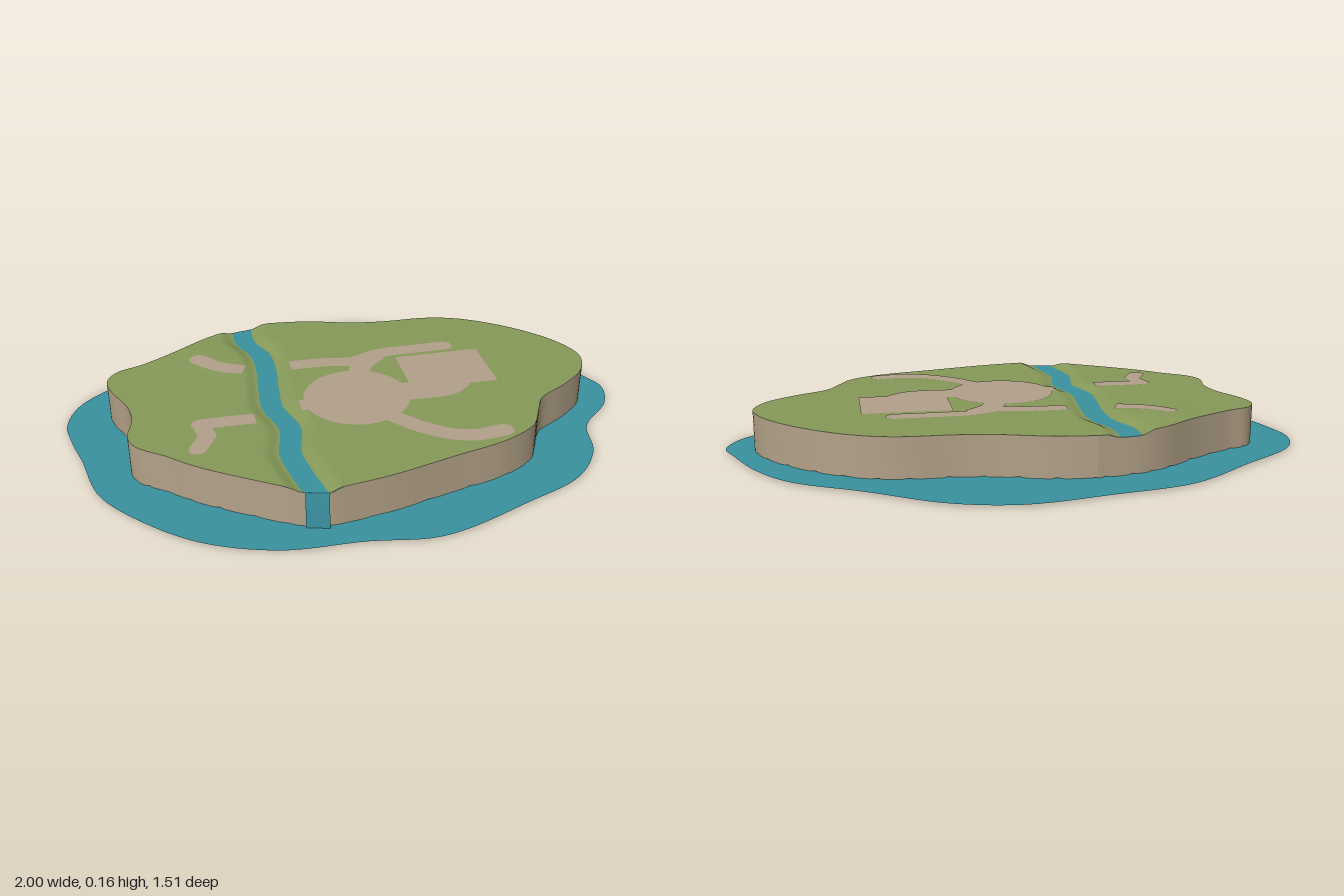
import * as THREE from 'three';

const mat = (name, color, side = THREE.FrontSide) =>
  Object.assign(new THREE.MeshStandardMaterial({ color, side }), { name });

const TOP = 0.147, RIVER_Y = 0.133, RIVER_HALF = 0.037, BANK = 0.05, WATER_Y = 0.006;

// Outlines as [x, z] points
const SEA = [
  [-1, -0.17], [-0.945, -0.31], [-0.72, -0.485], [-0.485, -0.65], [-0.2, -0.715], [0.08, -0.76],
  [0.3, -0.71], [0.54, -0.56], [0.77, -0.425], [0.885, -0.28], [0.965, -0.105], [1, -0.01],
  [0.96, 0.11], [0.83, 0.245], [0.785, 0.405], [0.67, 0.545], [0.46, 0.64], [0.135, 0.752],
  [-0.105, 0.725], [-0.37, 0.71], [-0.6, 0.62], [-0.775, 0.47], [-0.9, 0.3], [-0.95, 0.085], [-0.985, -0.05]];
const WEST = [
  [-0.195, -0.548], [-0.345, -0.52], [-0.44, -0.48], [-0.58, -0.385], [-0.72, -0.305], [-0.805, -0.27],
  [-0.842, -0.21], [-0.83, -0.13], [-0.78, -0.01], [-0.77, 0.085], [-0.79, 0.19], [-0.765, 0.255],
  [-0.68, 0.325], [-0.585, 0.41], [-0.425, 0.52], [-0.29, 0.6], [-0.195, 0.626]];
const EAST = [
  [-0.195, -0.548], [-0.05, -0.53], [0.125, -0.48], [0.245, -0.463], [0.43, -0.456], [0.55, -0.42],
  [0.685, -0.335], [0.805, -0.22], [0.875, -0.115], [0.9, -0.02], [0.86, 0.085], [0.755, 0.175],
  [0.645, 0.245], [0.6, 0.325], [0.55, 0.41], [0.43, 0.48], [0.245, 0.53], [0, 0.595], [-0.195, 0.626]];
const RIVER = [
  [-0.31, -0.56], [-0.31, -0.425], [-0.272, -0.32], [-0.265, -0.21], [-0.28, -0.05], [-0.287, 0.085],
  [-0.252, 0.23], [-0.277, 0.38], [-0.268, 0.47], [-0.236, 0.64]];

const spline = (pts, n, closed = false) =>
  new THREE.CatmullRomCurve3(pts.map(([x, z]) => new THREE.Vector3(x, 0, z)), closed).getPoints(n);

// x on a curve that runs from back to front, at a given z
function xAt(curve, z) {
  if (z <= curve[0].z) return curve[0].x;
  for (let i = 1; i < curve.length; i++) {
    const a = curve[i - 1], b = curve[i];
    if (z <= b.z) return a.x + (b.x - a.x) * (z - a.z) / Math.max(b.z - a.z, 1e-6);
  }
  return curve[curve.length - 1].x;
}

const west = spline(WEST, 80), east = spline(EAST, 80), river = spline(RIVER, 60);

// Ground height: flat meadow, low hill, banks sinking to the river
function ground(x, z) {
  const d = Math.abs(x - xAt(river, z)) - RIVER_HALF;
  const s = THREE.MathUtils.smoothstep(d, 0, BANK);
  const hill = 0.007 * Math.exp(-((x + 0.47) ** 2 + (z + 0.32) ** 2) / 0.012);
  return RIVER_Y + (TOP - RIVER_Y + hill) * s;
}

// Surface from rows of [x, y, z] points
function grid(rows) {
  const n = rows[0].length, index = [];
  for (let i = 0; i < rows.length - 1; i++)
    for (let j = 0; j < n - 1; j++) {
      const a = i * n + j, b = a + n;
      index.push(a, b, a + 1, b, b + 1, a + 1);
    }
  const g = new THREE.BufferGeometry();
  g.setAttribute('position', new THREE.Float32BufferAttribute(rows.flat(2), 3));
  g.setIndex(index);
  g.computeVertexNormals();
  return g;
}

// Lay a flat geometry on the ground
function drape(g) {
  const p = g.attributes.position;
  for (let i = 0; i < p.count; i++) p.setY(i, ground(p.getX(i), p.getZ(i)) + 0.002);
  g.computeVertexNormals();
  return g;
}

const disc = (x, z, r) =>
  drape(new THREE.CircleGeometry(r, 40).rotateX(-Math.PI / 2).translate(x, 0, z));

function ribbon(pts, width) {
  const line = spline(pts, 30);
  return drape(grid(line.map((p, i) => {
    const t = line[Math.min(i + 1, 30)].clone().sub(line[Math.max(i - 1, 0)]).normalize();
    return [-0.5, -0.25, 0, 0.25, 0.5].map(k => [p.x + t.z * k * width, 0, p.z - t.x * k * width]);
  })));
}

export function createModel() {
  const model = new THREE.Group();
  model.name = 'island';
  const grass = mat('grass green', 0x879a59);
  const water = mat('water teal', 0x3a92a0, THREE.DoubleSide);
  const rock = mat('cliff tan', 0xb3a288);
  const dirt = mat('path tan', 0xb2a08b);
  const add = (name, geometry, material, parent = model) => {
    const m = new THREE.Mesh(geometry, material);
    m.name = name;
    parent.add(m);
  };

  // Sea sheet
  const sea = new THREE.Shape(spline(SEA, 160, true).slice(0, -1).map(p => new THREE.Vector2(p.x, -p.z)));
  add('sea', new THREE.ShapeGeometry(sea).rotateX(-Math.PI / 2).translate(0, WATER_Y, 0), water);

  // Meadow on both sides of the river, and the river between
  const zs = [...new Set([...west, ...east].map(p => p.z))].sort((a, b) => a - b);
  const rows = { west: [], east: [], river: [] };
  for (const z of zs) {
    const w = xAt(west, z), e = xAt(east, z), c = xAt(river, z);
    const a = THREE.MathUtils.clamp(c - RIVER_HALF, w, e);
    const b = THREE.MathUtils.clamp(c + RIVER_HALF, w, e);
    const l = [], r = [];
    for (let i = 0; i <= 28; i++) {
      const t = (i / 28) ** 2, u = (1 - i / 28) ** 2;
      const xl = a + (w - a) * u, xr = b + (e - b) * t;
      l.push([xl, ground(xl, z), z]);
      r.push([xr, ground(xr, z), z]);
    }
    rows.west.push(l);
    rows.east.push(r);
    rows.river.push([[a, RIVER_Y, z], [b, RIVER_Y, z]]);
  }
  add('westMeadow', grid(rows.west), grass);
  add('eastMeadow', grid(rows.east), grass);
  add('river', grid(rows.river), water);

  // Cliff with a slightly ragged foot
  const loop = [...west, ...east.slice(0, -1).reverse()];
  add('cliff', grid(loop.map((p, i) => [
    [p.x, 0.005 + 0.005 * Math.sin(i * 1.9), p.z], [p.x, ground(p.x, p.z), p.z]])), rock);

  // Waterfall at the front
  const fall = [];
  for (let i = 0; i <= 6; i++) {
    const x = -0.273 + 0.073 * i / 6, z = 0.605 + 0.02 * i / 6;
    fall.push([[x, 0.002, z + 0.012], [x, 0.13, z + 0.006], [x, 0.134, z - 0.004]]);
  }
  add('waterfall', grid(fall), water);

  // Dirt paths, plaza and yard
  const paths = new THREE.Group();
  paths.name = 'paths';
  model.add(paths);
  const trails = [
    ['northWestPath', 0.065, [[-0.505, -0.29], [-0.44, -0.225], [-0.35, -0.185]]],
    ['northPath', 0.065, [[-0.178, -0.178], [-0.05, -0.175], [0.056, -0.16], [0.165, -0.2], [0.3, -0.205], [0.42, -0.205]]],
    ['plazaLink', 0.08, [[0.05, -0.04], [0.08, -0.12], [0.15, -0.19]]],
    ['riverLink', 0.07, [[0, 0.11], [-0.1, 0.11], [-0.195, 0.115]]],
    ['yardLink', 0.12, [[0.15, 0.1], [0.33, 0.1], [0.37, 0.075]]],
    ['southPath', 0.07, [[0.09, 0.24], [0.175, 0.34], [0.27, 0.41], [0.35, 0.43], [0.44, 0.42]]],
    ['southWestPath', 0.06, [[-0.57, 0.315], [-0.53, 0.24]]],
    ['southWestTurn', 0.06, [[-0.53, 0.24], [-0.545, 0.165]]],
    ['southWestBranch', 0.065, [[-0.555, 0.163], [-0.45, 0.163], [-0.36, 0.165]]]];
  for (const [name, width, pts] of trails) add(name, ribbon(pts, width), dirt, paths);
  const ends = [[-0.505, -0.29, 0.033], [0.42, -0.205, 0.033], [0.37, 0.075, 0.06], [0.44, 0.42, 0.035],
    [-0.57, 0.315, 0.03], [-0.53, 0.24, 0.03], [-0.548, 0.163, 0.03]];
  for (const [x, z, r] of ends) add('pathEnd', disc(x, z, r), dirt, paths);
  add('plaza', disc(0.01, 0.098, 0.188), dirt, paths);
  add('yard', drape(new THREE.PlaneGeometry(0.316, 0.247).rotateX(-Math.PI / 2).translate(0.375, 0, -0.03)), dirt, paths);

  return model;
}
